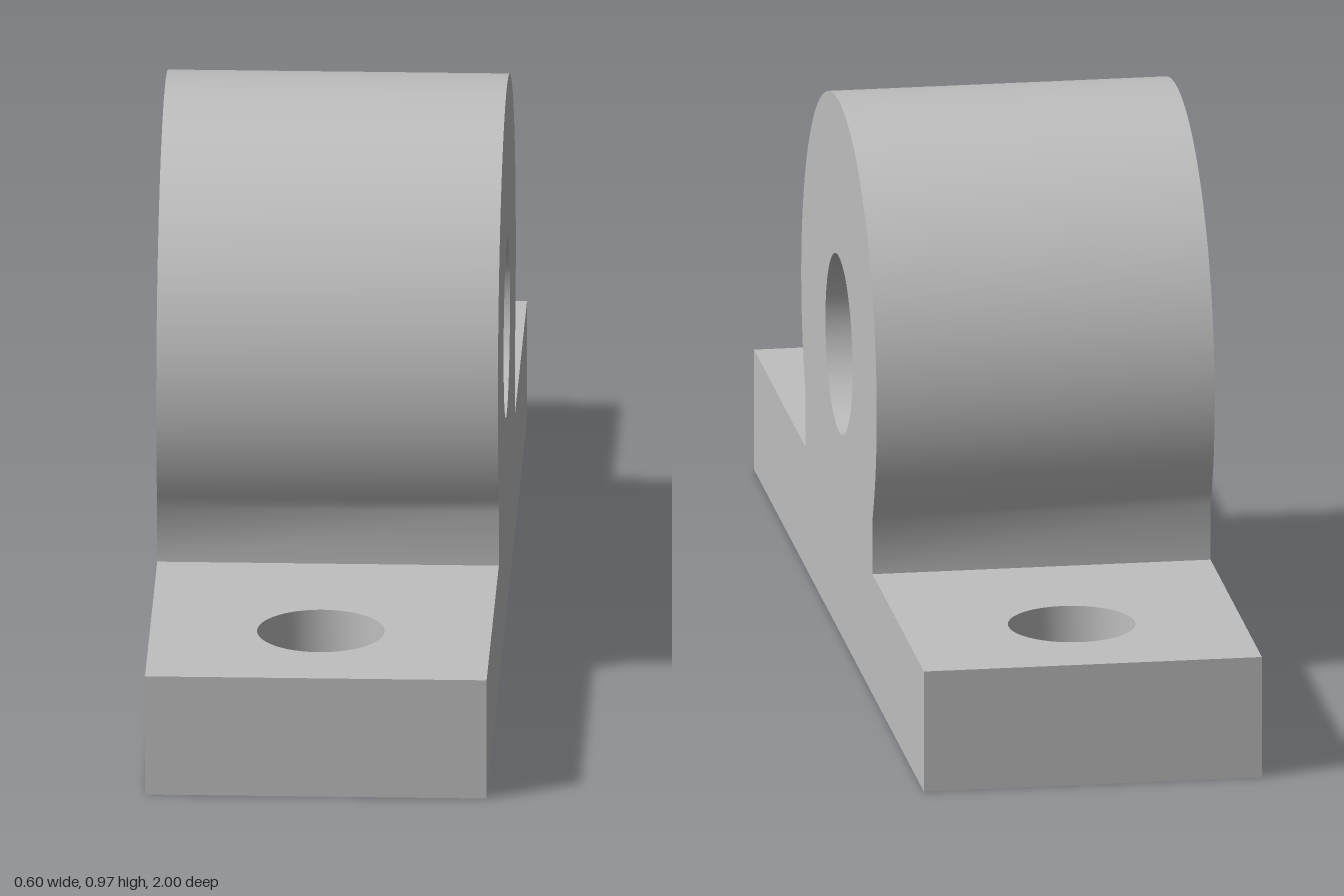
import * as THREE from 'three';
import { toCreasedNormals } from 'three/addons/utils/BufferGeometryUtils.js';

const WIDTH = 0.6;
const PLATE_HEIGHT = 0.22;

const circleHole = (x, y, r) => new THREE.Path().absarc(x, y, r, 0, Math.PI * 2, true);

// Straight extrusion, smooth on curved walls and sharp at the rims
function extrude(shape, depth) {
  const geometry = new THREE.ExtrudeGeometry(shape, { depth, bevelEnabled: false, curveSegments: 32 });
  return toCreasedNormals(geometry, THREE.MathUtils.degToRad(35));
}

export function createModel() {
  const group = new THREE.Group();
  group.name = 'pillowBlock';
  const metal = new THREE.MeshStandardMaterial({ color: 0xbfbfbf });
  metal.name = 'grey metal';

  const add = (name, geometry) => {
    const mesh = new THREE.Mesh(geometry, metal);
    mesh.name = name;
    group.add(mesh);
  };

  // Base plate with two bolt holes, extruded upwards
  const w = WIDTH / 2;
  const plate = new THREE.Shape().moveTo(-w, -1).lineTo(w, -1).lineTo(w, 1).lineTo(-w, 1).closePath();
  for (const side of [-1, 1]) plate.holes.push(circleHole(0, side * 0.75, 0.112));
  add('basePlate', extrude(plate, PLATE_HEIGHT).rotateX(-Math.PI / 2));

  // Round bearing housing on a short straight neck, bored through along x
  const centreY = 0.525, radius = 0.445, neck = 0.395;
  const a = Math.acos(neck / radius);
  const housing = new THREE.Shape()
    .moveTo(-neck, PLATE_HEIGHT)
    .lineTo(neck, PLATE_HEIGHT)
    .absarc(0, centreY, radius, -a, Math.PI + a, false)
    .closePath();
  housing.holes.push(circleHole(0, centreY, 0.16));
  add('bearingHousing', extrude(housing, WIDTH).translate(0, 0, -w).rotateY(-Math.PI / 2));

  return group;
}
